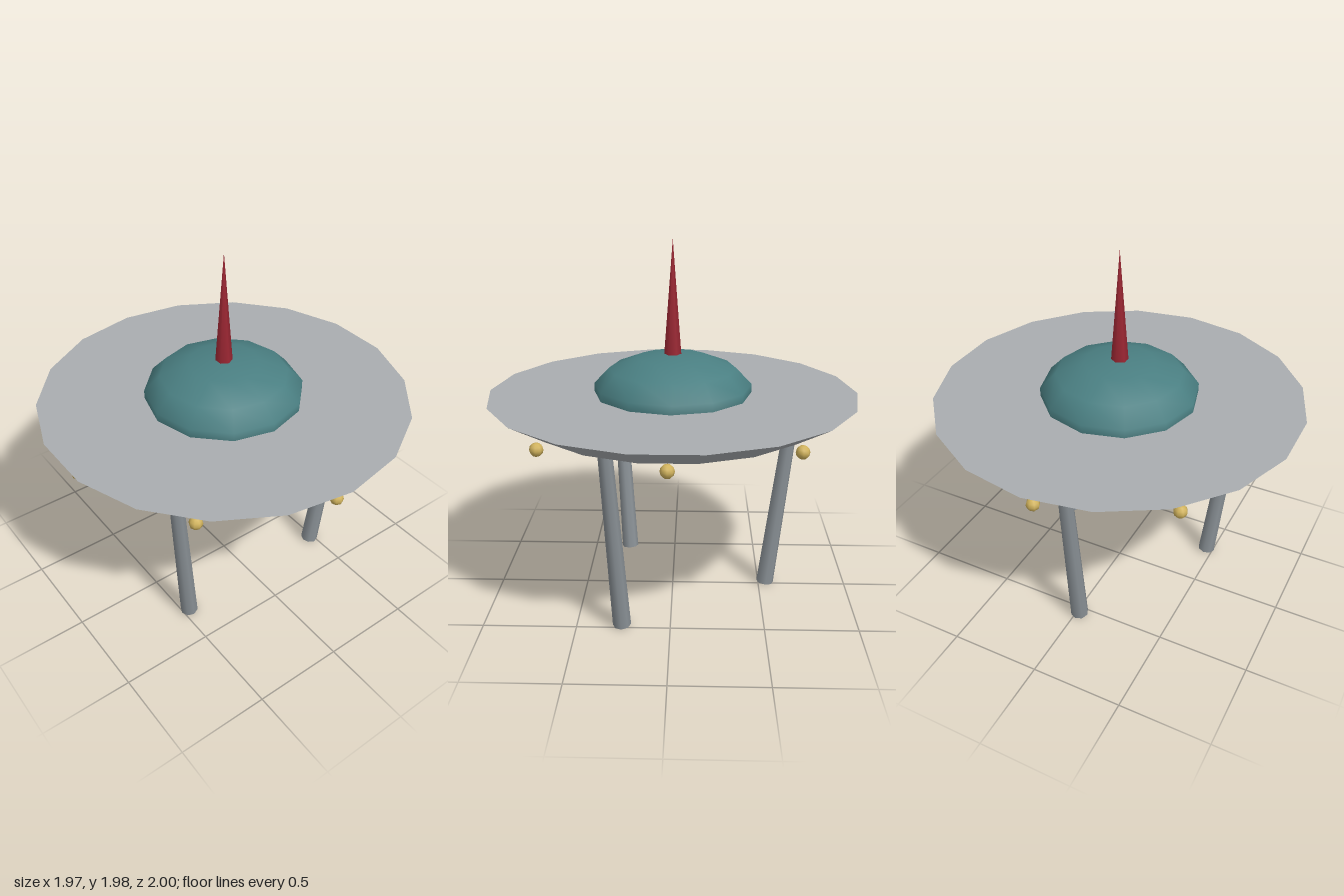
import * as THREE from 'three';

const mat = (name, color) => {
  const m = new THREE.MeshStandardMaterial({ color });
  m.name = name;
  return m;
};

export function createModel() {
  const model = new THREE.Group();
  model.name = 'saucer';

  const hullGrey = mat('hull grey', 0xa9adb0);
  const legGrey = mat('leg grey', 0x8a9196);
  const teal = mat('dome teal', 0x4a7f82);
  const red = mat('spike red', 0x9a2632);
  const gold = mat('lamp gold', 0xd0b25c);

  const add = (name, geometry, material, x, y, z) => {
    const mesh = new THREE.Mesh(geometry, material);
    mesh.name = name;
    mesh.position.set(x, y, z);
    model.add(mesh);
    return mesh;
  };

  // Wide disc tapering to its underside
  add('disc', new THREE.CylinderGeometry(1, 0.805, 0.115, 18), hullGrey, 0, 1.108, 0);

  // Flattened dome passing through the disc
  const dome = add('dome', new THREE.SphereGeometry(0.438, 12, 7), teal, 0, 1.163, 0);
  dome.scale.y = 0.5;

  // Antenna spike on top
  add('spike', new THREE.ConeGeometry(0.046, 0.61, 6), red, 0, 1.68, 0);

  // Ring of eight lamps below the rim
  const lampGeometry = new THREE.SphereGeometry(0.035, 8, 6);
  for (let i = 0; i < 8; i++) {
    const a = (i * Math.PI) / 4;
    add('lamp', lampGeometry, gold, 0.9 * Math.cos(a), 1.055, 0.9 * Math.sin(a));
  }

  // Three tapered legs leaning inward toward the ground
  const up = new THREE.Vector3(0, 1, 0);
  for (let i = 0; i < 3; i++) {
    const a = 0.5 + i * 2.09;
    const at = (r, y) => new THREE.Vector3(r * Math.cos(a), y, r * Math.sin(a));
    const foot = at(0.54, 0.006);
    const top = at(0.66, 1.042);
    const axis = top.clone().sub(foot);
    const mid = foot.clone().add(top).multiplyScalar(0.5);
    const leg = add('leg', new THREE.CylinderGeometry(0.037, 0.049, axis.length(), 8), legGrey, mid.x, mid.y, mid.z);
    leg.quaternion.setFromUnitVectors(up, axis.normalize());
  }

  return model;
}
